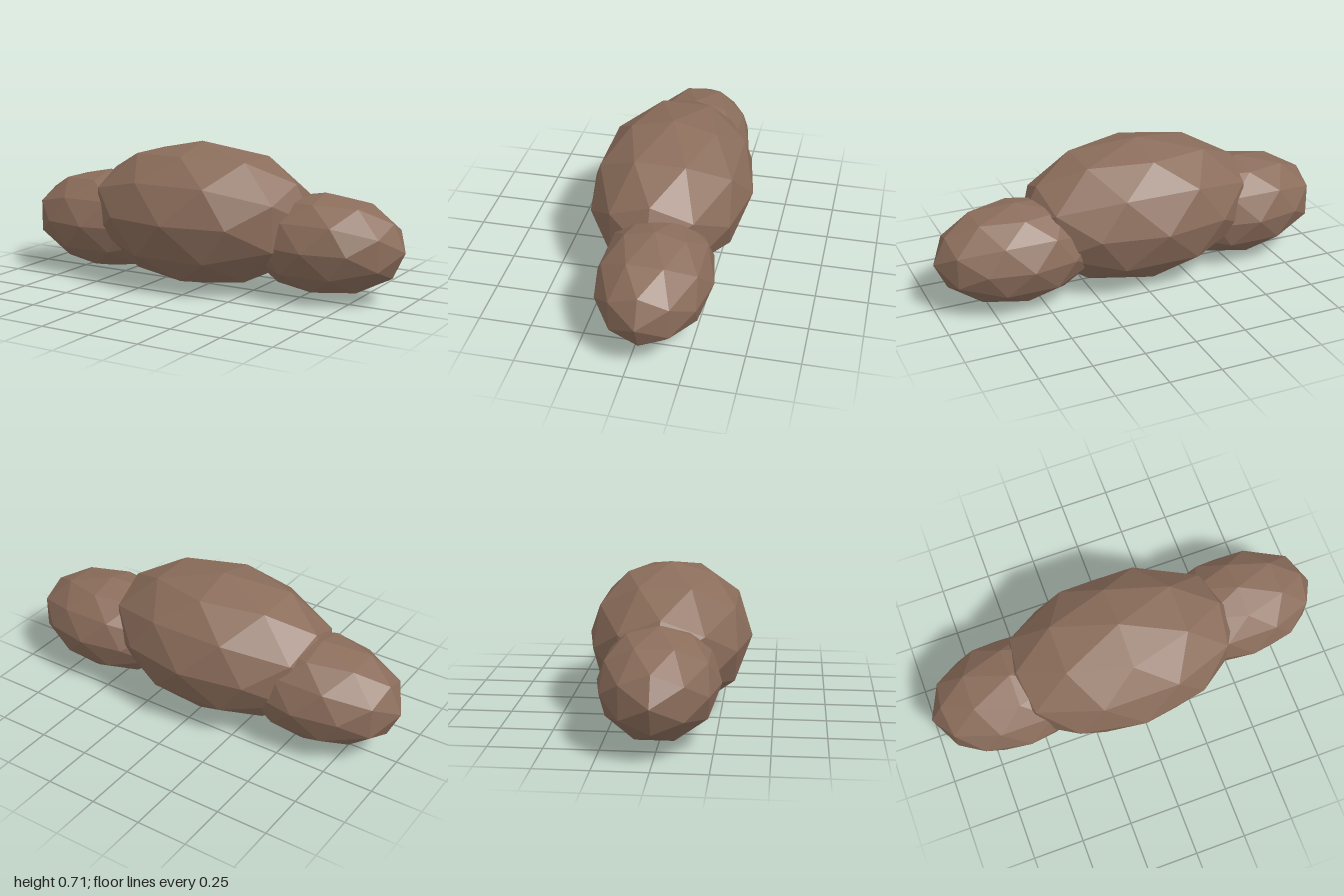
import * as THREE from 'three';

// Cluster of three stretched, faceted boulders
export function createModel() {
  const group = new THREE.Group();
  group.name = 'rockCluster';
  const stone = new THREE.MeshStandardMaterial({ color: 0x8b6d5b, flatShading: true });
  stone.name = 'brown stone';

  function addRock(name, center, radii) {
    const geometry = new THREE.IcosahedronGeometry(1, 1);
    geometry.rotateX(Math.PI / 2); // turn the facets so an edge pair runs along the top
    geometry.scale(...radii);
    geometry.computeVertexNormals(); // unshared corners give flat facets
    const rock = new THREE.Mesh(geometry, stone);
    rock.name = name;
    rock.position.set(...center);
    group.add(rock);
  }

  addRock('mainBoulder', [-0.037, 0.353, 0], [0.6, 0.353, 0.392]);
  addRock('leftBoulder', [0.597, 0.262, -0.054], [0.403, 0.241, 0.27]);
  addRock('rightBoulder', [-0.581, 0.272, -0.002], [0.419, 0.251, 0.28]);

  return group;
}
